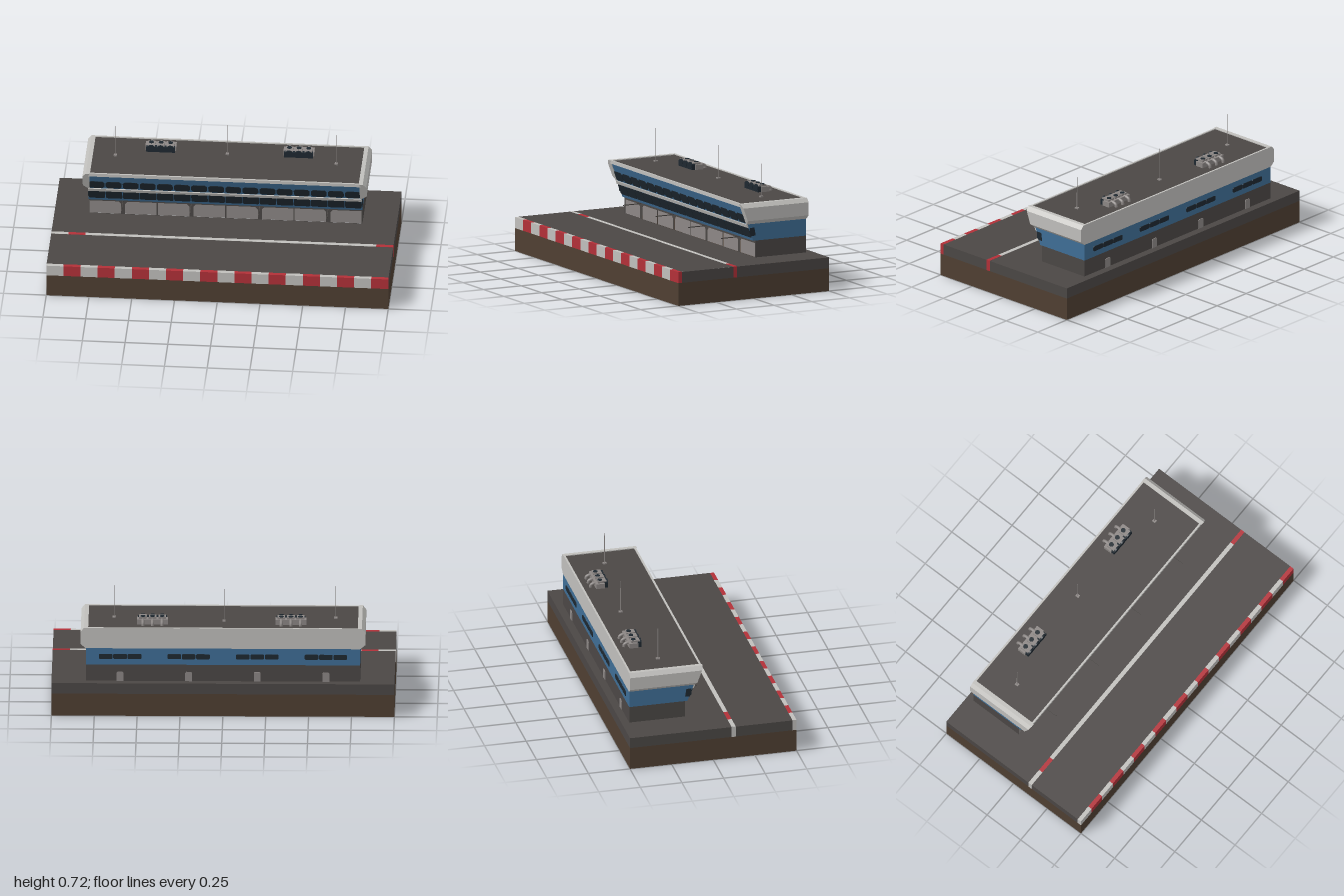
import * as THREE from 'three';

const mat = (name, color, side = THREE.FrontSide) => {
  const m = new THREE.MeshStandardMaterial({ color, side });
  m.name = name;
  return m;
};
const D = THREE.DoubleSide;
const M = {
  earth: mat('earthBrown', 0x4f3f32, D),
  asphalt: mat('asphaltGrey', 0x4b4745, D),
  white: mat('offWhite', 0xc0bfbc, D),
  red: mat('kerbRed', 0xb23038, D),
  blue: mat('wallBlue', 0x3f6e96, D),
  grey: mat('doorGrey', 0x8c8785, D),
  glass: mat('darkGlass', 0x1e2830, D),
};

// z of the leaning front wall at height y
const lean = (y) => -0.105 + (y - 0.3) * 0.372;

const poly = (pts) => new THREE.Shape(pts.map(([x, y]) => new THREE.Vector2(x, y)));
const rect = (x0, x1, y0, y1) => poly([[x0, y0], [x1, y0], [x1, y1], [x0, y1]]);
const extrude = (shape, depth) => new THREE.ExtrudeGeometry(shape, { depth, bevelEnabled: false });

// Pane with clipped corners
const pane = (x, y, w, h, c) => poly([
  [x - w / 2 + c, y - h / 2], [x + w / 2 - c, y - h / 2], [x + w / 2, y - h / 2 + c], [x + w / 2, y + h / 2 - c],
  [x + w / 2 - c, y + h / 2], [x - w / 2 + c, y + h / 2], [x - w / 2, y + h / 2 - c], [x - w / 2, y - h / 2 + c],
]);

// Shear a plate so that it follows the leaning wall
function leanPlate(shape, depth) {
  const g = extrude(shape, depth);
  const p = g.attributes.position;
  for (let i = 0; i < p.count; i++) p.setZ(i, p.getZ(i) + lean(p.getY(i)));
  g.computeVertexNormals();
  return g;
}

export function createModel() {
  const root = new THREE.Group();
  root.name = 'pitBuilding';

  const add = (name, geo, material, parent = root) => {
    const m = new THREE.Mesh(geo, material);
    m.name = name;
    parent.add(m);
    return m;
  };
  const group = (name) => {
    const g = new THREE.Group();
    g.name = name;
    root.add(g);
    return g;
  };
  const box = (name, x0, x1, y0, y1, z0, z1, material, parent) => {
    const m = add(name, new THREE.BoxGeometry(x1 - x0, y1 - y0, z1 - z0), material, parent);
    m.position.set((x0 + x1) / 2, (y0 + y1) / 2, (z0 + z1) / 2);
    return m;
  };
  // Rectangular ring of walls, t thick
  const frame = (name, x, z0, z1, t, y0, y1, material) => {
    const s = rect(-x, x, -z1, -z0);
    s.holes.push(rect(-x + t, x - t, -z1 + t, -z0 - t));
    const m = add(name, extrude(s, y1 - y0).rotateX(-Math.PI / 2), material);
    m.position.y = y0;
    return m;
  };

  // Hollow base
  frame('earthWalls', 1, -0.5, 0.5, 0.004, 0, 0.135, M.earth);
  frame('asphaltEdge', 1, -0.5, 0.476, 0.004, 0.135, 0.199, M.asphalt);
  const deck = rect(-1, 1, -0.476, 0.5);
  deck.holes.push(rect(-0.798, 0.798, 0.122, 0.453), rect(-0.999, 0.999, -0.135, -0.11));
  add('trackDeck', new THREE.ShapeGeometry(deck).rotateX(-Math.PI / 2), M.asphalt).position.y = 0.2;

  // Kerb along the front edge and line across the deck
  const kerb = group('frontKerb');
  const line = group('pitLaneLine');
  for (let i = 0; i < 20; i++) {
    const x = -1 + i * 0.1;
    box('kerbBlock', x, x + 0.1, 0.135, 0.2, 0.475, 0.5, i % 2 ? M.red : M.white, kerb);
    box('lineSegment', x, x + 0.1, 0.198, 0.201, 0.11, 0.135, i === 1 || i === 19 ? M.red : M.white, line);
  }
  box('lineEndLeft', 0.998, 1.001, 0.135, 0.2, 0.11, 0.135, M.red, line);
  box('lineEndRight', -1.001, -0.998, 0.135, 0.2, 0.11, 0.135, M.white, line);

  // Ground floor: side and back walls, ceiling
  for (const s of [-1, 1]) {
    const m = box('groundSideWall', -0.002, 0.002, 0.2, 0.3, -0.455, -0.12, M.asphalt);
    m.position.x = s * 0.798;
  }
  box('groundBackWall', -0.8, 0.8, 0.2, 0.3, -0.455, -0.451, M.asphalt);
  box('groundCeiling', -0.8, 0.8, 0.296, 0.3, -0.455, -0.12, M.asphalt);

  // Garage front: wall with eight openings, each filled by a door
  const front = rect(-0.8, 0.8, 0.2, 0.3);
  const garage = group('garageFront');
  for (const pier of [-0.6, -0.2, 0.2, 0.6]) {
    for (const s of [-1, 1]) {
      const a = pier + s * 0.012, b = pier + s * 0.196;
      const door = [[a, 0.201], [b, 0.201], [b, 0.284], [a + s * 0.014, 0.284], [a, 0.268]];
      front.holes.push(poly(door));
      add('garageDoor', new THREE.ShapeGeometry(poly(door)), M.grey, garage).position.z = -0.122;
    }
    // Boom reaching out over the pit lane
    box('pitBoom', pier - 0.002, pier + 0.002, 0.288, 0.293, -0.12, 0, M.asphalt, garage);
  }
  add('garageWall', new THREE.ShapeGeometry(front), M.asphalt, garage).position.z = -0.12;

  // Upper floors with the leaning front
  const side = poly([[-0.455, 0.3], [lean(0.3), 0.3], [lean(0.515), 0.515], [-0.455, 0.515]]);
  add('upperFloors', extrude(side, 1.6).rotateY(-Math.PI / 2).translate(0.8, 0, 0), M.blue);

  // Front window rows and the ledge between them
  const windows = group('frontWindows');
  for (let i = 0; i < 16; i++) {
    const x = -0.75 + i * 0.1;
    add('upperWindow', leanPlate(pane(x, 0.432, 0.092, 0.054, 0.012), 0.004), M.glass, windows);
    add('lowerWindow', leanPlate(pane(x, 0.347, 0.096, 0.058, 0.006), 0.004), M.glass, windows);
  }
  add('windowLedge', leanPlate(rect(-0.8, 0.8, 0.38, 0.4), 0.009), M.white);
  const sideWindow = poly([[-0.12, 0.33], [-0.094, 0.33], [-0.083, 0.34], [-0.083, 0.378], [-0.112, 0.378]]);
  for (const x of [0.803, -0.799]) {
    add('sideWindow', extrude(sideWindow, 0.004).rotateY(-Math.PI / 2).translate(x, 0, 0), M.glass, windows);
  }

  // Back windows and doors
  const back = group('backOpenings');
  for (const x of [-0.6, -0.2, 0.2, 0.6]) {
    for (const k of [-1, 0, 1]) {
      const g = extrude(pane(x + k * 0.084, 0.35, 0.08, 0.03, 0.005), 0.004);
      add('backWindow', g, M.glass, back).position.z = -0.459;
    }
    const d = poly([[x - 0.02, 0.2], [x + 0.02, 0.2], [x + 0.02, 0.25], [x + 0.014, 0.257], [x - 0.014, 0.257], [x - 0.02, 0.25]]);
    add('backDoor', extrude(d, 0.004), M.grey, back).position.z = -0.459;
  }

  // Roof, rim, back fascia and chamfered end caps
  box('roof', -0.795, 0.795, 0.514, 0.52, -0.45, -0.03, M.asphalt);
  frame('roofRim', 0.797, -0.456, lean(0.525), 0.011, 0.505, 0.525, M.white);
  box('backFascia', -0.8, 0.8, 0.4, 0.5245, -0.4565, -0.45, M.white);
  for (const s of [-1, 1]) {
    const pts = [[0.79, 0.4], [0.8, 0.4], [0.83, 0.425], [0.83, 0.502], [0.81, 0.525], [0.79, 0.525]];
    const g = extrude(poly(pts.map(([x, y]) => [s * x, y])), 1);
    const p = g.attributes.position;
    for (let i = 0; i < p.count; i++) p.setZ(i, p.getZ(i) < 0.5 ? -0.457 : lean(p.getY(i)) + 0.005);
    g.computeVertexNormals();
    add('endCap', g, M.white);
  }

  // Roof ventilation units
  const elbow = new THREE.CatmullRomCurve3([
    new THREE.Vector3(0, 0.545, -0.36), new THREE.Vector3(0, 0.543, -0.385),
    new THREE.Vector3(0, 0.535, -0.399), new THREE.Vector3(0, 0.52, -0.402),
  ]);
  for (const x of [-0.395, 0.412]) {
    const unit = group('ventilationUnit');
    unit.position.x = x;
    box('unitBody', -0.09, 0.09, 0.52, 0.55, -0.375, -0.322, M.grey, unit);
    box('unitGrille', -0.084, 0.084, 0.52, 0.553, -0.325, -0.302, M.glass, unit);
    for (const k of [-1, 0, 1]) {
      const px = k * 0.056;
      box('fanHousing', px - 0.022, px + 0.022, 0.545, 0.561, -0.362, -0.31, M.grey, unit);
      const fan = add('fan', new THREE.CylinderGeometry(0.014, 0.014, 0.008, 12), M.glass, unit);
      fan.position.set(px, 0.56, -0.345);
      const face = add('fanFace', new THREE.CylinderGeometry(0.021, 0.021, 0.01, 12).rotateX(Math.PI / 2), M.glass, unit);
      face.position.set(px, 0.543, -0.305);
      add('duct', new THREE.TubeGeometry(elbow, 8, 0.009, 8), M.grey, unit).position.x = px;
    }
  }

  // Antennas
  for (const [x, z] of [[-0.655, -0.247], [-0.005, -0.31], [0.637, -0.247]]) {
    const a = group('antenna');
    a.position.set(x, 0, z);
    box('antennaFoot', -0.009, 0.009, 0.52, 0.527, -0.011, 0.011, M.grey, a);
    add('antennaMast', new THREE.CylinderGeometry(0.002, 0.0025, 0.195, 6), M.grey, a).position.y = 0.62;
  }

  return root;
}
